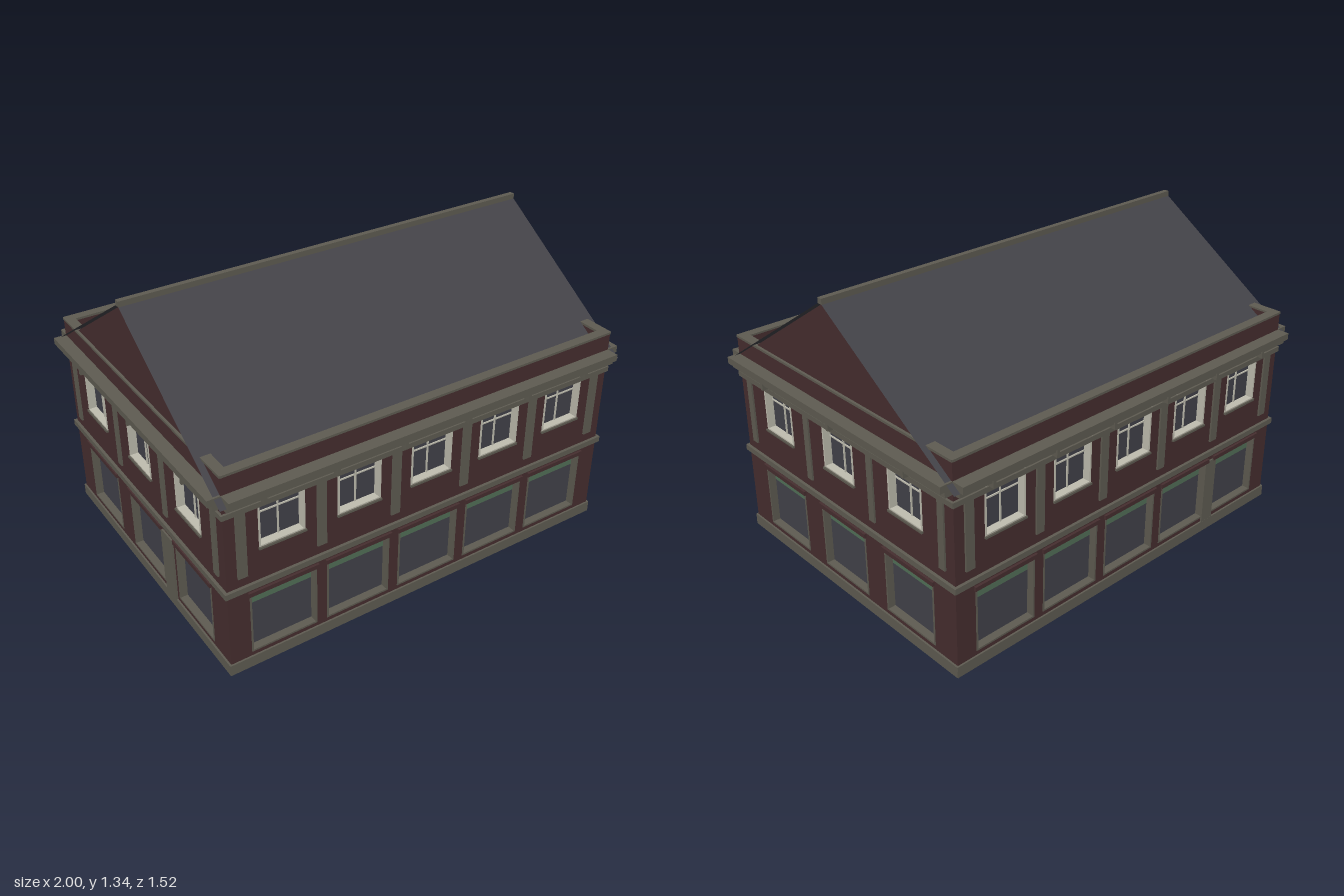
import * as THREE from 'three';

const mat = (name, color) => {
  const m = new THREE.MeshStandardMaterial({ color });
  m.name = name;
  return m;
};

export function createModel() {
  const brick = mat('dark red brick', 0x462e2f);
  const stone = mat('grey stone', 0x5f5c52);
  const slate = mat('roof slate', 0x434248);
  const glass = mat('dark glass', 0x42424a);
  const green = mat('green transom', 0x527058);
  const cream = mat('cream frame', 0xc0beb0);
  slate.side = THREE.DoubleSide;

  const model = new THREE.Group();
  model.name = 'building';

  // Box given by its limits on each axis
  const box = (parent, name, m, x0, x1, y0, y1, z0, z1) => {
    const mesh = new THREE.Mesh(new THREE.BoxGeometry(x1 - x0, y1 - y0, z1 - z0), m);
    mesh.position.set((x0 + x1) / 2, (y0 + y1) / 2, (z0 + z1) / 2);
    mesh.name = name;
    parent.add(mesh);
    return mesh;
  };

  const rect = (P, x0, x1, y0, y1) => {
    const p = new P();
    p.moveTo(x0, y0);
    p.lineTo(x1, y0);
    p.lineTo(x1, y1);
    p.lineTo(x0, y1);
    p.closePath();
    return p;
  };

  // Four-sided frame lining an opening
  const frame = (g, name, m, x0, x1, y0, y1, t, z0, z1) => {
    const s = rect(THREE.Shape, x0, x1, y0, y1);
    s.holes.push(rect(THREE.Path, x0 + t, x1 - t, y0 + t, y1 - t));
    const mesh = new THREE.Mesh(new THREE.ExtrudeGeometry(s, { depth: z1 - z0, bevelEnabled: false }), m);
    mesh.position.z = z0;
    mesh.name = name;
    g.add(mesh);
  };

  const T = 0.04; // wall thickness and window recess

  // One wall facing +z: half width w, distance d from the centre
  function facade(name, w, d, bays, pilasters, brackets, pilasterWidth) {
    const g = new THREE.Group();
    g.name = name;
    const shape = rect(THREE.Shape, -w, w, 0, 0.94);
    for (const c of bays) {
      shape.holes.push(rect(THREE.Path, c - 0.15, c + 0.15, 0.07, 0.355));
      shape.holes.push(rect(THREE.Path, c - 0.1, c + 0.1, 0.568, 0.83));
    }
    const wall = new THREE.Mesh(new THREE.ExtrudeGeometry(shape, { depth: T, bevelEnabled: false }), brick);
    wall.position.z = d - T;
    wall.name = 'wall';
    g.add(wall);

    for (const c of bays) {
      // Shop window with green transom, frame and lintel
      box(g, 'shopGlass', glass, c - 0.15, c + 0.15, 0.07, 0.285, d - T, d - T + 0.008);
      box(g, 'shopTransom', green, c - 0.15, c + 0.15, 0.285, 0.355, d - T, d - T + 0.009);
      frame(g, 'shopFrame', stone, c - 0.151, c + 0.151, 0.069, 0.356, 0.008, d - T, d + 0.002);
      box(g, 'shopLintel', brick, c - 0.158, c + 0.158, 0.354, 0.373, d - 0.01, d + 0.011);
      // Upper window with crossed glazing bars and sill
      box(g, 'upperGlass', glass, c - 0.1, c + 0.1, 0.568, 0.83, d - T, d - T + 0.008);
      frame(g, 'upperFrame', cream, c - 0.101, c + 0.101, 0.567, 0.831, 0.008, d - T, d + 0.003);
      box(g, 'mullion', cream, c - 0.003, c + 0.003, 0.57, 0.83, d - T, d - T + 0.014);
      box(g, 'glazingBar', cream, c - 0.1, c + 0.1, 0.7, 0.706, d - T, d - T + 0.013);
      box(g, 'sill', stone, c - 0.104, c + 0.104, 0.56, 0.569, d - 0.01, d + 0.01);
    }
    for (const p of pilasters) {
      const h = pilasterWidth / 2;
      box(g, 'pilaster', stone, p - h, p + h, 0.46, 0.76, d - 0.01, d + 0.008);
    }
    // Plinth and string courses
    box(g, 'plinth', stone, -w - 0.006, w + 0.006, 0, 0.05, d - T, d + 0.008);
    box(g, 'lowerString', stone, -w - 0.012, w + 0.012, 0.39, 0.416, d - 0.01, d + 0.013);
    box(g, 'upperString', stone, -w - 0.008, w + 0.008, 0.757, 0.78, d - 0.01, d + 0.01);
    // Stepped cornice on small brackets
    box(g, 'corniceBed', stone, -w, w, 0.808, 0.835, d - 0.01, d + 0.036);
    box(g, 'corniceTop', stone, -w, w, 0.832, 0.862, d - 0.01, d + 0.056);
    for (const b of brackets) box(g, 'bracket', stone, b - 0.007, b + 0.007, 0.787, 0.834, d - 0.01, d + 0.042);
    // Parapet coping
    box(g, 'coping', stone, -w, w, 0.938, 0.948, d - T, d + 0.003);
    return g;
  }

  const bx = [-0.698, -0.349, 0, 0.349, 0.698];
  const px = [-0.875, -0.524, -0.175, 0.175, 0.524, 0.875];
  const kx = [-0.785, -0.47, -0.157, 0.157, 0.47, 0.785];
  for (let i = 0; i < 4; i++) {
    const side = i % 2 === 1;
    const g = side
      ? facade(i === 1 ? 'leftFacade' : 'rightFacade', 0.705, 0.943, [-0.425, 0, 0.425],
        [-0.638, -0.213, 0.213, 0.638], [-0.47, 0, 0.47], 0.034)
      : facade(i === 0 ? 'frontFacade' : 'backFacade', 0.943, 0.705, bx, px, kx, 0.042);
    g.rotation.y = (i * Math.PI) / 2;
    model.add(g);
  }

  // Solid interior and ground slab
  box(model, 'core', brick, -0.903, 0.903, 0.01, 0.85, -0.665, 0.665);
  box(model, 'groundSlab', stone, -0.94, 0.94, 0, 0.012, -0.703, 0.703);

  // Stone door panels on the back and one side
  box(model, 'backDoor', stone, -0.56, -0.49, 0.05, 0.36, -0.712, -0.7);
  box(model, 'sideDoor', stone, -0.951, -0.94, 0.05, 0.36, 0.165, 0.255);

  // Pitched roof sheets
  const apex = 1.32, eaveY = 0.83, eaveZ = 0.745;
  const len = Math.hypot(eaveZ, apex - eaveY);
  for (const s of [1, -1]) {
    const geo = new THREE.PlaneGeometry(1.94, len);
    geo.rotateX(-Math.atan2(eaveZ, apex - eaveY));
    geo.translate(0, (apex + eaveY) / 2, eaveZ / 2);
    if (s < 0) geo.rotateY(Math.PI);
    const roof = new THREE.Mesh(geo, slate);
    roof.name = s > 0 ? 'frontRoof' : 'backRoof';
    model.add(roof);
  }
  box(model, 'ridgeCap', stone, -0.97, 0.97, 1.312, 1.336, -0.012, 0.012);

  // Brick gables
  const tri = new THREE.Shape();
  tri.moveTo(-0.66, 0.88);
  tri.lineTo(0.66, 0.88);
  tri.lineTo(0, apex - 0.003);
  tri.closePath();
  for (const s of [1, -1]) {
    const geo = new THREE.ExtrudeGeometry(tri, { depth: 0.02, bevelEnabled: false });
    geo.translate(0, 0, 0.915);
    geo.rotateY((s * Math.PI) / 2);
    const gable = new THREE.Mesh(geo, brick);
    gable.name = s > 0 ? 'leftGable' : 'rightGable';
    model.add(gable);
  }
  return model;
}
